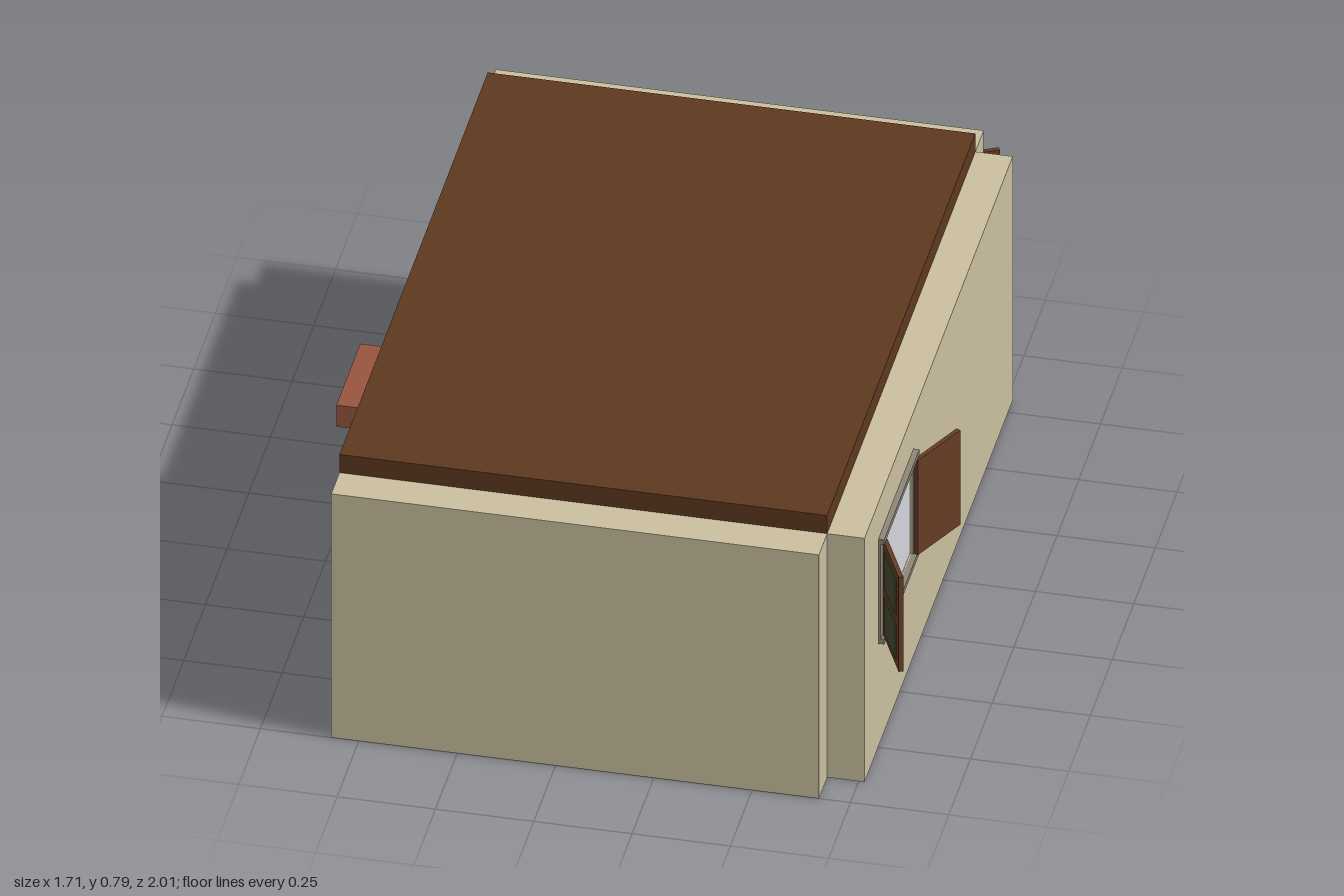
import * as THREE from 'three';

const paint = (name, color) => Object.assign(new THREE.MeshStandardMaterial({ color }), { name });

export function createModel() {
  const plaster = paint('plaster', 0xcbbf9f);
  const darkWood = paint('dark wood', 0x5e3920);
  const shutterWood = paint('shutter wood', 0x663d25);
  const terracotta = paint('terracotta', 0x98553e);
  const green = paint('olive green', 0x474b2f);
  const stone = paint('grey stone', 0x8c8677);
  const glass = paint('pale glass', 0xd4d4dc);
  const cream = paint('cream', 0xddd2b8);

  const model = new THREE.Group();
  model.name = 'room';

  function add(parent, name, geometry, material, x, y, z) {
    const mesh = new THREE.Mesh(geometry, material);
    mesh.name = name;
    mesh.position.set(x, y, z);
    parent.add(mesh);
    return mesh;
  }
  // Box given by its minimum and maximum on each axis
  function box(parent, name, material, x0, x1, y0, y1, z0, z1) {
    return add(parent, name, new THREE.BoxGeometry(x1 - x0, y1 - y0, z1 - z0), material,
      (x0 + x1) / 2, (y0 + y1) / 2, (z0 + z1) / 2);
  }
  function group(parent, name, x, y, z, turn = 0) {
    const g = new THREE.Group();
    g.name = name;
    g.position.set(x, y, z);
    g.rotation.y = turn;
    parent.add(g);
    return g;
  }

  // Shell: floor, doorstep, roof and plain front wall
  const wallTop = 0.735, thick = 0.095;
  box(model, 'floor', terracotta, -0.57, 0.67, 0, 0.065, -0.805, 0.905);
  box(model, 'doorstep', terracotta, -0.85, -0.57, 0, 0.065, -0.605, -0.33);
  box(model, 'roof', darkWood, -0.57, 0.67, 0.73, 0.79, -0.805, 0.905);
  box(model, 'frontWall', plaster, -0.57, 0.67, 0, wallTop, 0.905, 1);

  // Wall with a window; its outer face is local z = 0, facing +z
  function windowWall(name, wall, width, cx, half, shutterLength) {
    const y0 = 0.325, y1 = 0.61, yc = (y0 + y1) / 2;
    const outline = new THREE.Shape([
      [-width / 2, 0], [width / 2, 0], [width / 2, wallTop], [-width / 2, wallTop],
    ].map(p => new THREE.Vector2(...p)));
    outline.holes.push(new THREE.Path([
      [cx - half, y0], [cx - half, y1], [cx + half, y1], [cx + half, y0],
    ].map(p => new THREE.Vector2(...p))));
    const shell = new THREE.ExtrudeGeometry(outline, { depth: thick, bevelEnabled: false });
    add(wall, name, shell, plaster, 0, 0, -thick);

    // Pane and surrounding frame
    box(wall, 'windowPane', glass, cx - half, cx + half, y0, y1, -0.012, -0.004);
    for (const [a, b] of [[y0 - 0.015, y0], [y1, y1 + 0.015]])
      box(wall, 'frameRail', stone, cx - half - 0.025, cx + half + 0.025, a, b, -0.02, 0.015);
    for (const s of [-1, 1]) {
      const x = cx + s * (half + 0.0125);
      box(wall, 'framePost', stone, x - 0.0125, x + 0.0125, y0, y1, -0.02, 0.006);

      // Open shutter with two green panels on the side facing the wall
      const shutter = group(wall, 'shutter', cx + s * half, yc, 0.012, -s * 0.45);
      const mid = s * shutterLength / 2;
      add(shutter, 'shutterBoard', new THREE.BoxGeometry(shutterLength, y1 - y0, 0.012), shutterWood, mid, 0, 0);
      for (const y of [-0.067, 0.067])
        add(shutter, 'shutterPanel', new THREE.BoxGeometry(shutterLength - 0.05, 0.105, 0.004), green, mid, y, -0.007);
    }
  }
  windowWall('sideWall', group(model, 'windowSide', 0.765, 0, 0.05, Math.PI / 2), 1.71, -0.493, 0.178, 0.17);
  windowWall('backWall', group(model, 'windowBack', 0.05, 0, -0.9, Math.PI), 1.24, -0.213, 0.225, 0.22);

  // Ceiling beams
  for (let i = 0; i < 4; i++) {
    const z = 0.4 - i * 0.28;
    box(model, 'ceilingBeam', darkWood, -0.5, 0.67, 0.665, 0.73, z - 0.03, z + 0.03);
  }

  // Kitchen island with panelled sides
  const island = group(model, 'island', 0, 0.065, 0);
  const zA = -0.37, zB = 0.53, xA = -0.17, xB = 0.07;
  box(island, 'islandPlinth', green, xA - 0.008, xB + 0.008, 0, 0.02, zA - 0.008, zB + 0.008);
  box(island, 'islandBody', green, xA, xB, 0.02, 0.17, zA, zB);
  box(island, 'worktop', shutterWood, xA - 0.02, xB + 0.02, 0.17, 0.185, zA - 0.02, zB + 0.02);
  for (const [x, s] of [[xA, -1], [xB, 1]]) {
    for (let i = 0; i <= 6; i++) {
      const z = zA + 0.0125 + i * (zB - zA - 0.025) / 6;
      add(island, 'panelStile', new THREE.BoxGeometry(0.012, 0.15, 0.025), green, x + s * 0.006, 0.095, z);
    }
    for (const y of [0.032, 0.158])
      add(island, 'panelRail', new THREE.BoxGeometry(0.012, 0.024, zB - zA), green, x + s * 0.005, y, (zA + zB) / 2);
  }

  // Boards and plates laid out on the worktop
  for (let i = 0; i < 4; i++) {
    const z = -0.2 + i * 0.18, x = i % 2 ? -0.09 : -0.06;
    box(island, 'servingBoard', darkWood, x - 0.04, x + 0.04, 0.185, 0.193, z - 0.05, z + 0.05);
    add(island, 'plate', new THREE.CylinderGeometry(0.033, 0.024, 0.012, 16), cream, x, 0.199, z);
  }

  return model;
}
